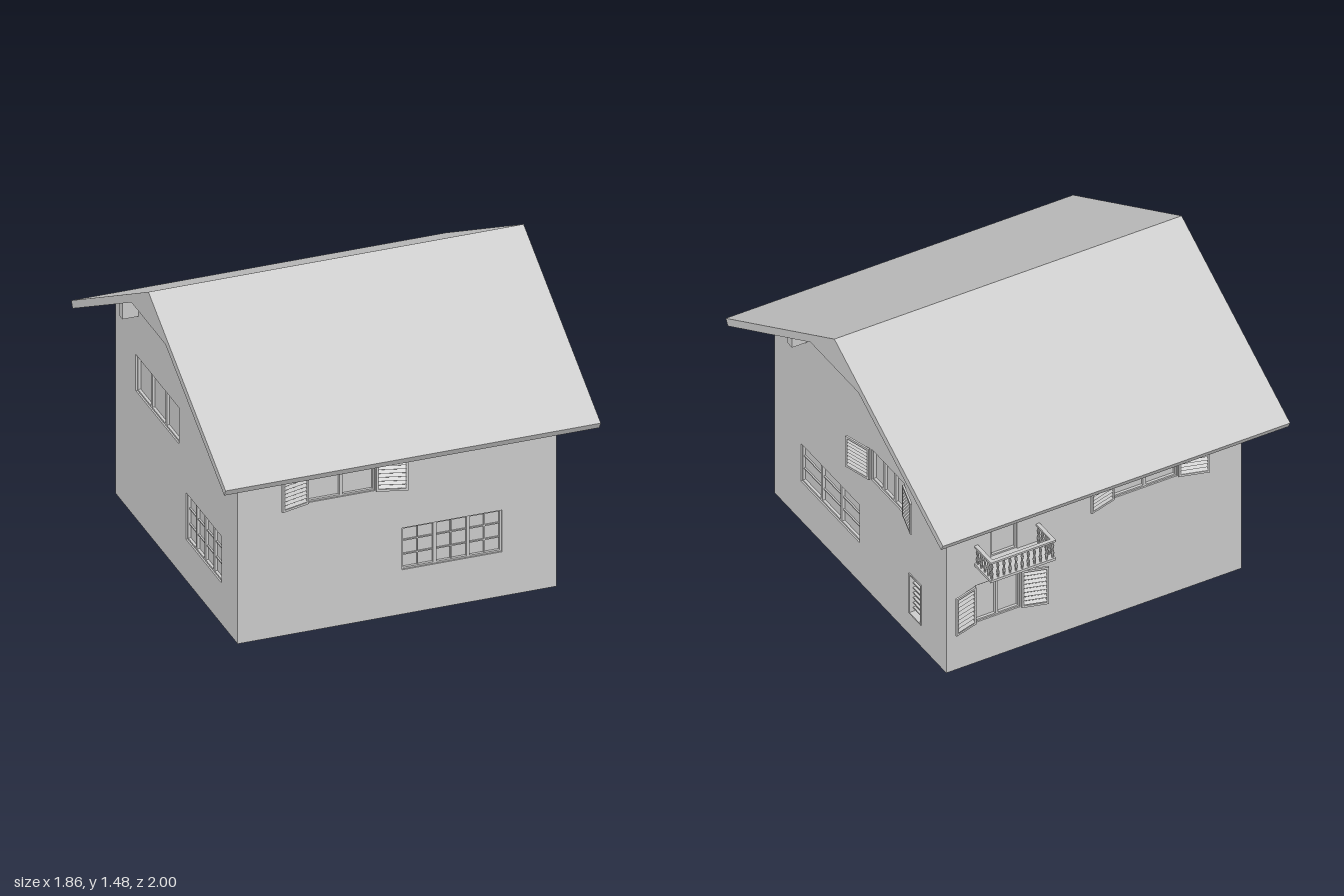
import * as THREE from 'three';

const W = 0.79;        // half width of the walls
const BASE = 0.12;     // height of the floor above the open foot
const T = 0.035;       // wall thickness

const mat = new THREE.MeshStandardMaterial({ color: 0xcccccc, flatShading: true });
const matThin = new THREE.MeshStandardMaterial({ color: 0xcccccc, flatShading: true, side: THREE.DoubleSide });

function add(parent, name, geometry, material = mat) {
  const mesh = new THREE.Mesh(geometry, material);
  mesh.name = name;
  parent.add(mesh);
  return mesh;
}

function box(parent, name, x0, x1, y0, y1, z0, z1) {
  const mesh = add(parent, name, new THREE.BoxGeometry(x1 - x0, y1 - y0, z1 - z0));
  mesh.position.set((x0 + x1) / 2, (y0 + y1) / 2, (z0 + z1) / 2);
  return mesh;
}

const shapeOf = pts => new THREE.Shape(pts.map(p => new THREE.Vector2(p[0], p[1])));
const extrude = (shape, depth) => new THREE.ExtrudeGeometry(shape, { depth, bevelEnabled: false });

// Extrude a (z, y) profile along x, from x0 to x1
function alongX(parent, name, pts, x0, x1) {
  const geometry = extrude(shapeOf(pts.map(([z, y]) => [-z, y])), x1 - x0);
  geometry.rotateY(Math.PI / 2).translate(x0, 0, 0);
  return add(parent, name, geometry);
}

// Louvred shutter, hinged at the window edge and swung a little off the wall
function addShutter(wall, hinge, dir, y0, y1, width) {
  const g = new THREE.Group();
  g.name = 'shutter';
  g.position.set(hinge, 0, 0.004);
  g.rotation.y = -dir * 0.28;
  wall.add(g);
  const b = 0.011, d = 0.01;
  const xa = dir > 0 ? 0 : -width, xb = xa + width;
  box(g, 'shutterStile', xa, xa + b, y0, y1, 0, d);
  box(g, 'shutterStile', xb - b, xb, y0, y1, 0, d);
  box(g, 'shutterRail', xa + b, xb - b, y0, y0 + b, 0, d);
  box(g, 'shutterRail', xa + b, xb - b, y1 - b, y1, 0, d);
  const n = 8, step = (y1 - y0 - 2 * b) / n;
  for (let i = 0; i < n; i++) {
    const y = y0 + b + (i + 0.5) * step;
    const slat = box(g, 'shutterSlat', xa + b, xb - b, y - 0.009, y + 0.009, 0.003, 0.007);
    slat.rotation.x = -0.65;
  }
}

// Recessed window: glass, one frame per casement, glazing bars
function addWindow(wall, { u0, u1, y0, y1, cols = 1, rows = 1, bars = 0, shutter = 0 }) {
  const g = new THREE.Group();
  g.name = 'window';
  wall.add(g);
  box(g, 'glass', u0, u1, y0, y1, -T + 0.002, -0.022);
  const cw = (u1 - u0) / cols, f = 0.008;
  for (let i = 0; i < cols; i++) {
    const a = u0 + i * cw, b = a + cw;
    box(g, 'casementSide', a, a + f, y0, y1, -0.024, -0.008);
    box(g, 'casementSide', b - f, b, y0, y1, -0.024, -0.008);
    box(g, 'casementRail', a + f, b - f, y0, y0 + f, -0.024, -0.008);
    box(g, 'casementRail', a + f, b - f, y1 - f, y1, -0.024, -0.008);
    for (let r = 1; r < rows; r++) {
      const y = y0 + (y1 - y0) * r / rows;
      box(g, 'glazingBar', a + f, b - f, y - 0.003, y + 0.003, -0.024, -0.014);
    }
    for (let c = 1; c <= bars; c++) {
      const x = a + cw * c / (bars + 1);
      box(g, 'glazingBar', x - 0.003, x + 0.003, y0 + f, y1 - f, -0.024, -0.014);
    }
  }
  if (shutter) {
    addShutter(wall, u0 - 0.005, -1, y0, y1, shutter);
    addShutter(wall, u1 + 0.005, 1, y0, y1, shutter);
  }
}

// Small louvred vent in a slim raised frame
function addVent(wall, { u0, u1, y0, y1 }) {
  const f = 0.007;
  box(wall, 'ventBack', u0, u1, y0, y1, -T + 0.002, -0.028);
  box(wall, 'ventFrame', u0, u0 + f, y0, y1, -0.03, 0.005);
  box(wall, 'ventFrame', u1 - f, u1, y0, y1, -0.03, 0.005);
  box(wall, 'ventFrame', u0 + f, u1 - f, y0, y0 + f, -0.03, 0.005);
  box(wall, 'ventFrame', u0 + f, u1 - f, y1 - f, y1, -0.03, 0.005);
  for (let i = 1; i < 8; i++) {
    const y = y0 + (y1 - y0) * i / 8;
    box(wall, 'ventSlat', u0 + f, u1 - f, y - 0.003, y + 0.003, -0.03, -0.015);
  }
}

// Wall panel with openings; local +z points outwards
function addWall(house, name, angle, outline, openings) {
  const wall = new THREE.Group();
  wall.name = name;
  wall.rotation.y = angle;
  wall.position.set(Math.sin(angle) * W, 0, Math.cos(angle) * W);
  house.add(wall);
  const shape = shapeOf(outline);
  for (const { u0, u1, y0, y1 } of openings)
    shape.holes.push(new THREE.Path([[u0, y0], [u0, y1], [u1, y1], [u1, y0]].map(p => new THREE.Vector2(...p))));
  add(wall, name + 'Panel', extrude(shape, T).translate(0, 0, -T));
  for (const o of openings) (o.vent ? addVent : addWindow)(wall, o);
  return wall;
}

// Balcony with turned balusters on three sides
function addBalcony(wall, u0, u1, depth) {
  const g = new THREE.Group();
  g.name = 'balcony';
  wall.add(g);
  const y0 = 0.568, y1 = 0.685, r = 0.012;
  box(g, 'balconyFloor', u0, u1, y0, y0 + 0.014, 0, depth);
  box(g, 'handrail', u0, u1, y1 - 0.01, y1, depth - 0.02, depth);
  box(g, 'handrail', u0, u0 + 0.02, y1 - 0.01, y1, 0, depth - 0.02);
  box(g, 'handrail', u1 - 0.02, u1, y1 - 0.01, y1, 0, depth - 0.02);
  const profile = [[0.005, 0], [0.005, 0.12], [0.009, 0.3], [0.004, 0.5], [0.008, 0.72], [0.004, 0.88], [0.005, 1]]
    .map(([x, y]) => new THREE.Vector2(x, y * (y1 - y0 - 0.02)));
  const geometry = new THREE.LatheGeometry(profile, 8);
  const put = (x, z) => add(g, 'baluster', geometry, matThin).position.set(x, y0 + 0.012, z);
  const n = 10;
  for (let i = 0; i <= n; i++) put(u0 + r + (u1 - u0 - 2 * r) * i / n, depth - r);
  for (let i = 0; i < 4; i++) for (const x of [u0 + r, u1 - r]) put(x, 0.012 + i * 0.033);
}

export function createModel() {
  const house = new THREE.Group();
  house.name = 'house';

  // Open foot and raised floor
  const foot = add(house, 'foot', new THREE.CylinderGeometry(W * Math.SQRT2, W * Math.SQRT2, BASE, 4, 1, true)
    .rotateY(Math.PI / 4), matThin);
  foot.position.y = BASE / 2;
  box(house, 'floor', -W, W, BASE, BASE + 0.005, -W, W);

  // Walls and openings
  const straight = [[-W, BASE], [W, BASE], [W, 1.006], [-W, 1.006]];
  const gable = [[-W, BASE], [W, BASE], [W, 1.006], [0.22, 1.316], [-0.22, 1.316], [-W, 1.006]];
  addWall(house, 'frontWall', 0, straight, [
    { u0: -0.44, u1: -0.11, y0: 0.675, y1: 0.858, cols: 2, shutter: 0.15 },
    { u0: 0.025, u1: 0.52, y0: 0.233, y1: 0.452, cols: 3, rows: 3, bars: 1 },
  ]);
  addWall(house, 'leftWall', Math.PI / 2, gable, [
    { u0: 0.1, u1: 0.405, y0: 0.672, y1: 0.85, cols: 3, shutter: 0.15 },
    { u0: -0.55, u1: -0.01, y0: 0.23, y1: 0.45, cols: 3, rows: 3 },
    { u0: 0.452, u1: 0.562, y0: 0.128, y1: 0.36, vent: true },
  ]);
  const back = addWall(house, 'backWall', Math.PI, straight, [
    { u0: 0.105, u1: 0.445, y0: 0.675, y1: 0.855, cols: 2, shutter: 0.15 },
    { u0: -0.635, u1: -0.395, y0: 0.235, y1: 0.45, cols: 2, shutter: 0.13 },
    { u0: -0.55, u1: -0.41, y0: 0.582, y1: 0.87 },
  ]);
  addWall(house, 'rightWall', -Math.PI / 2, gable, [
    { u0: -0.53, u1: 0.03, y0: 0.67, y1: 0.86, cols: 3 },
    { u0: 0.12, u1: 0.58, y0: 0.215, y1: 0.46, cols: 4, rows: 3 },
  ]);
  addBalcony(back, -0.64, -0.29, 0.152);

  // Roof with a flat soffit under the ridge
  alongX(house, 'roof', [[0, 1.48], [1, 0.935], [0.982, 0.902], [0.22, 1.315],
    [-0.22, 1.315], [-0.982, 0.902], [-1, 0.935]], -0.93, 0.93);

  // Rafter tails under the eaves and purlin ends under the gables
  const under = z => 1.436 - 0.545 * z;
  for (const s of [1, -1]) {
    for (const x of [-0.72, -0.24, 0.235, 0.713])
      alongX(house, 'rafterTail', [[0.78, under(0.78)], [0.903, under(0.903)], [0.857, 0.865], [0.78, 0.906]]
        .map(([z, y]) => [s * z, y]), x - 0.023, x + 0.023);
    for (const [a, b, y] of [[0.2, 0.247, 1.228], [0.493, 0.54, 1.078]])
      for (const x0 of [-0.87, 0.78])
        alongX(house, 'purlinEnd', [[a, y], [b, y], [b, Math.min(1.316, under(b))], [a, Math.min(1.316, under(a))]]
          .map(([z, h]) => [s * z, h]), x0, x0 + 0.09);
  }
  return house;
}
